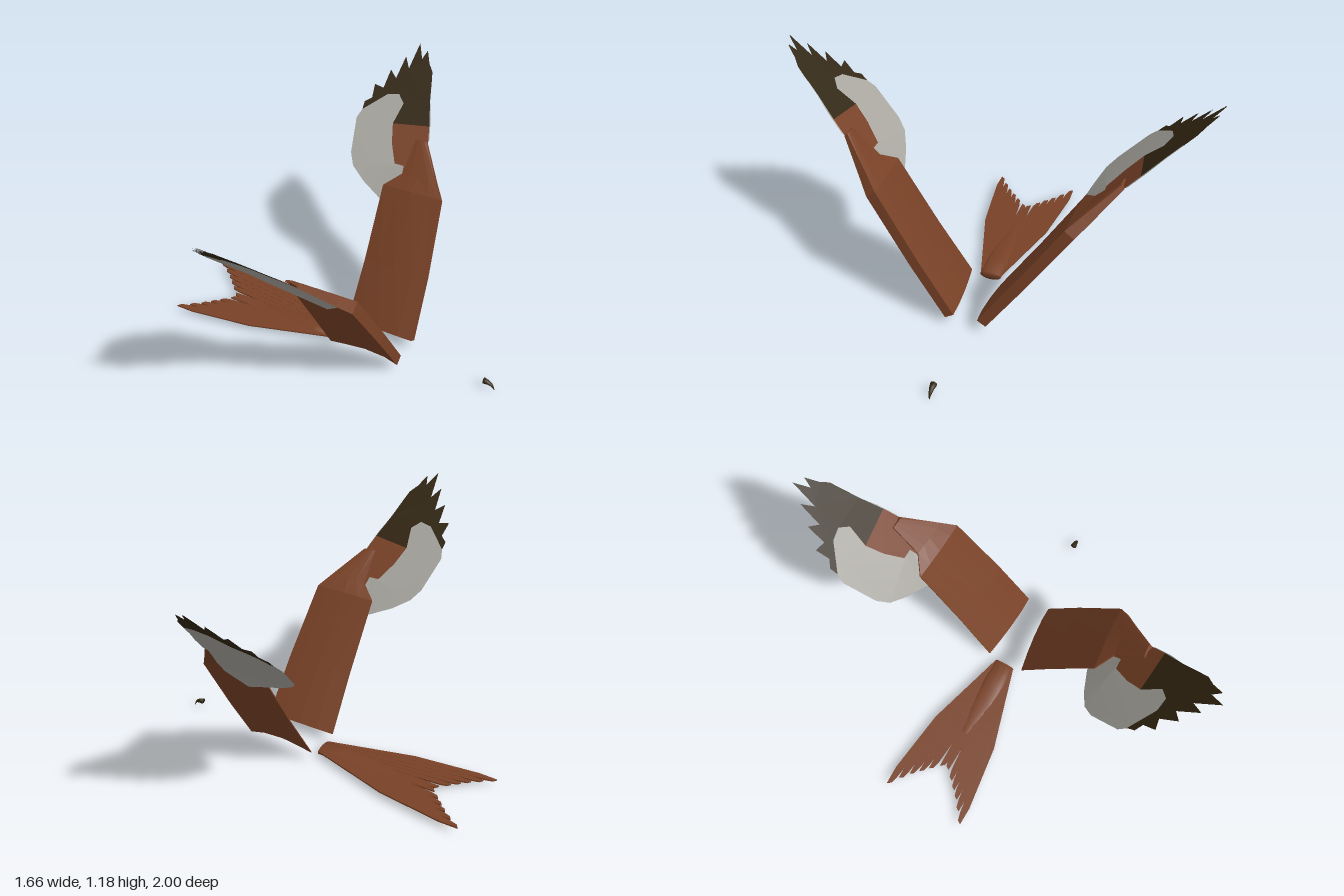
import * as THREE from 'three';

const paint = (name, color) => new THREE.MeshStandardMaterial({ name, color, side: THREE.DoubleSide });
const V = (x, y, z) => new THREE.Vector3(x, y, z);

// Skin a list of equal closed rings, with both ends closed.
function loft(rings, flat) {
  const n = rings[0].length, pos = [], idx = [];
  rings.forEach(r => r.forEach(p => pos.push(p.x, p.y, p.z)));
  for (let s = 0; s < rings.length - 1; s++) {
    for (let i = 0; i < n; i++) {
      const a = s * n + i, b = s * n + (i + 1) % n;
      idx.push(a, b, a + n, b, b + n, a + n);
    }
  }
  for (const [base, flip] of [[0, true], [(rings.length - 1) * n, false]]) {
    for (let i = 0; i < n / 2 - 1; i++) {
      const a = base + i, b = base + i + 1, c = base + n - 2 - i, d = base + n - 1 - i;
      if (flip) idx.push(a, c, b, a, d, c);
      else idx.push(a, b, c, a, c, d);
    }
  }
  let g = new THREE.BufferGeometry();
  g.setAttribute('position', new THREE.Float32BufferAttribute(pos, 3));
  g.setIndex(idx);
  if (flat) g = g.toNonIndexed();
  g.computeVertexNormals();
  return g;
}

const oval = (x, y, ry, rz) => Array.from({ length: 12 }, (_, i) => {
  const a = (i + 0.5) / 12 * Math.PI * 2;
  return V(x, y + Math.sin(a) * ry, Math.cos(a) * rz);
});

// Airfoil section: trailing x, leading x, origin, up direction, upper and lower heights.
const U = [0, 0.25, 0.5, 0.8, 1];
function airfoil([xt, xl, z, y, nz, ny, top, bot]) {
  const at = (u, h) => V(xt + (xl - xt) * u, y + ny * h, z + nz * h);
  return [...U.map((u, i) => at(u, top[i])), ...U.map((u, i) => at(u, bot[i])).reverse()];
}

// Flat feather sheet drawn in x and z, tilted up along the wing.
function sheet(points, drop) {
  const g = new THREE.ShapeGeometry(new THREE.Shape(points.map(p => new THREE.Vector2(...p))));
  const p = g.attributes.position;
  for (let i = 0; i < p.count; i++) {
    const z = p.getY(i);
    const rise = 0.178 - Math.max(0, 0.5 - z) * 0.37;
    p.setXYZ(i, p.getX(i), z + rise - drop * 0.7, z + drop * 0.7);
  }
  g.computeVertexNormals();
  return g;
}

export function createModel() {
  const brown = paint('russet', 0x784126);
  const grey = paint('pale grey', 0xa8a69f);
  const black = paint('dark brown', 0x322612);
  const model = new THREE.Group();
  const add = (parent, name, geometry, material) => {
    const m = new THREE.Mesh(geometry, material);
    m.name = name;
    parent.add(m);
    return m;
  };

  // Wing arm and hand, from root to wrist to tip
  const sections = [
    [0.01, 0.372, 0.097, 0.049, -0.84, 0.545, [0.004, 0.022, 0.036, 0.046, 0.045], [0, 0.01, 0.018, 0.012, -0.005]],
    [0.016, 0.357, 0.27, 0.311, -0.84, 0.545, [0.012, 0.028, 0.04, 0.048, 0.048], [0.008, 0.017, 0.023, 0.014, -0.005]],
    [0.012, 0.322, 0.48, 0.632, -0.78, 0.62, [0.026, 0.036, 0.045, 0.05, 0.052], [0.02, 0.026, 0.03, 0.016, -0.005]],
    [0.09, 0.272, 0.531, 0.69, -0.72, 0.69, [0.024, 0.032, 0.038, 0.043, 0.043], [0.018, 0.02, 0.022, 0.014, -0.005]],
    [0.1, 0.162, 0.65, 0.825, -0.72, 0.69, [0.016, 0.02, 0.022, 0.022, 0.02], [0.008, 0.01, 0.01, 0.006, -0.002]],
  ];

  // Outlines shared by the feather sheets
  const tips = [[0.1, 0.8], [0.08, 0.855], [0.06, 0.907], [0.03, 0.935], [0, 0.98], [-0.015, 0.945],
    [-0.052, 1], [-0.066, 0.9], [-0.102, 0.942], [-0.115, 0.855], [-0.157, 0.882], [-0.163, 0.81],
    [-0.215, 0.817], [-0.205, 0.765], [-0.237, 0.745], [-0.235, 0.715]];
  const rear = [[-0.25, 0.68], [-0.215, 0.55], [-0.18, 0.505], [-0.1, 0.467]];
  const lowerEdge = [[-0.2, 0.755], [-0.15, 0.78], [-0.1, 0.797], [-0.04, 0.85], [0.02, 0.865], [0.05, 0.862]];
  const upperEdge = [[-0.2, 0.74], [-0.13, 0.79], [-0.07, 0.8], [-0.03, 0.77], [-0.05, 0.69]];
  const notch = [[-0.02, 0.62], [0.03, 0.55], [0.08, 0.55], [0.09, 0.5]];

  for (const side of [1, -1]) {
    const wing = new THREE.Group();
    wing.name = side > 0 ? 'leftWing' : 'rightWing';
    wing.scale.z = side;
    add(wing, 'wingArm', loft(sections.map(airfoil), true), brown);

    // Upper faces of the feathers
    add(wing, 'upperTipFeathers', sheet([[0.14, 0.71], ...tips, ...upperEdge], 0), black);
    add(wing, 'upperRearFeathers', sheet([...rear, [0.01, 0.43], ...notch.slice().reverse(),
      ...upperEdge.slice().reverse(), [-0.235, 0.715]], 0), grey);
    add(wing, 'upperCoverts', sheet([...notch, [0.17, 0.52], [0.163, 0.65], [0.14, 0.71], [-0.05, 0.69]], 0), brown);

    // Lower faces of the feathers
    add(wing, 'lowerTipFeathers', sheet([...tips.slice(1), ...lowerEdge], 0.003), black);
    add(wing, 'lowerFeathers', sheet([...rear, [0, 0.435], [0.15, 0.385], [0.23, 0.445], [0.235, 0.49],
      [0.15, 0.64], [0.163, 0.66], [0.135, 0.735], [0.1, 0.8], [0.08, 0.855],
      ...lowerEdge.slice().reverse(), [-0.235, 0.715]], 0.003), grey);
    model.add(wing);
  }

  // Tail root, tapering into the fan
  const tail = new THREE.Group();
  tail.name = 'tail';
  add(tail, 'tailRoot', loft([oval(0, 0.027, 0.024, 0.054), oval(-0.12, 0.028, 0.016, 0.06),
    oval(-0.26, 0.028, 0.008, 0.05), oval(-0.42, 0.028, 0.004, 0.02)]), brown);

  // Forked fan of overlapping tail feathers
  const ends = [[-0.625, 0.018], [-0.665, 0.06], [-0.7, 0.095], [-0.735, 0.13], [-0.78, 0.167], [-0.832, 0.205]];
  for (const side of [1, -1]) {
    ends.forEach(([x, z], i) => {
      const mid = z * 0.76, root = z * 0.2;
      const pts = [[0, root - 0.01], [-0.42, mid - 0.024], [x + 0.05, z - 0.022], [x + 0.012, z - 0.012],
        [x, z + 0.006], [x + 0.09, z + 0.008], [-0.42, mid + 0.016], [-0.2, z * 0.47 + 0.012], [0, root + 0.01]];
      const g = new THREE.ExtrudeGeometry(new THREE.Shape(pts.map(p => new THREE.Vector2(p[0], p[1] * side))),
        { depth: 0.007, bevelEnabled: false });
      g.rotateX(Math.PI / 2);
      g.scale(1, 1, 1);
      add(tail, 'tailFeather', g, brown).position.y = 0.031 + i * 0.0009;
    });
  }
  model.add(tail);

  // Hooked beak tip
  add(model, 'beakTip', loft([oval(0.773, 0.041, 0.014, 0.016), oval(0.797, 0.038, 0.011, 0.012),
    oval(0.815, 0.029, 0.008, 0.008), oval(0.824, 0.017, 0.006, 0.005), oval(0.83, 0.004, 0.002, 0.002)]), black);

  return model;
}
